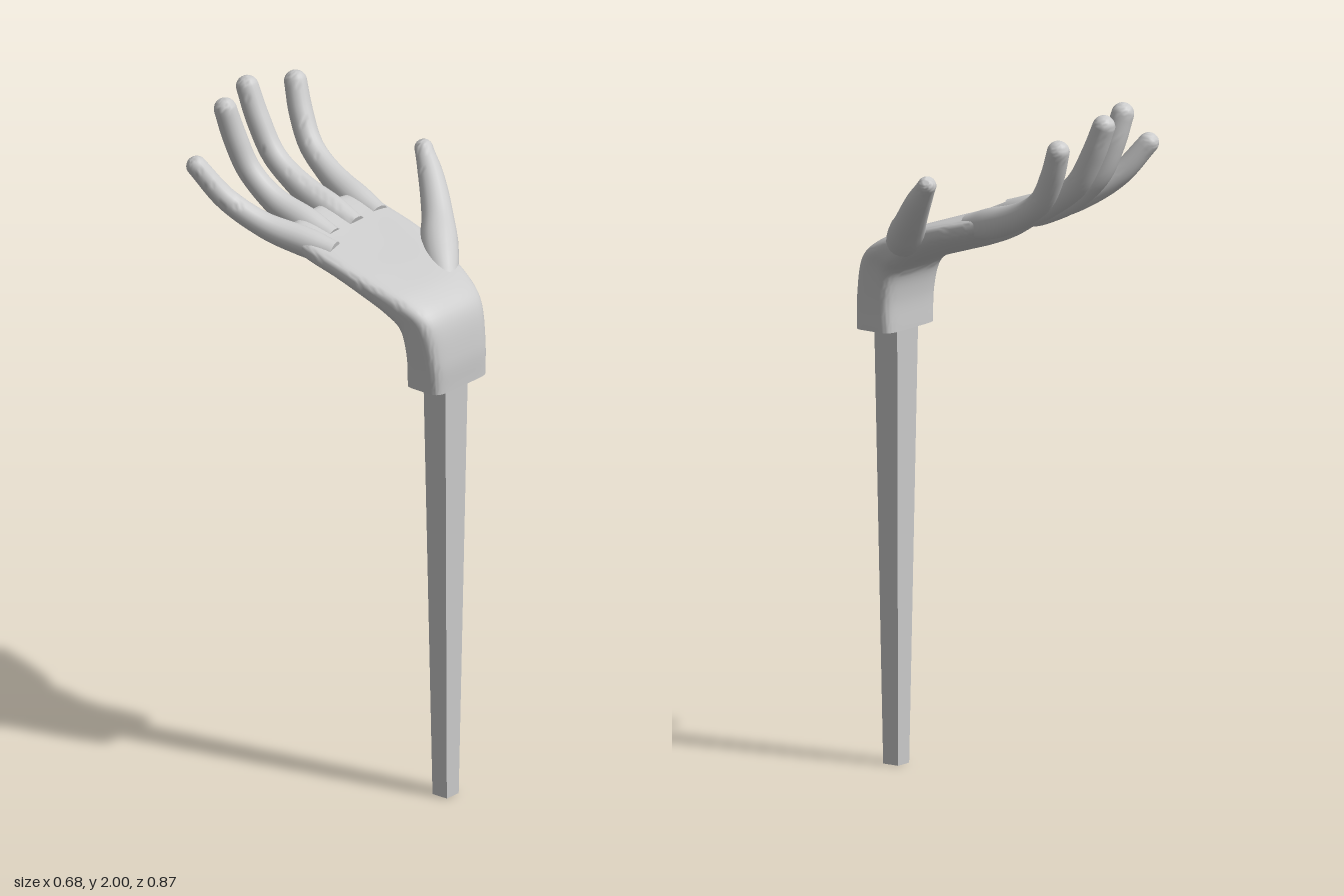
import * as THREE from 'three';
import { toCreasedNormals } from 'three/addons/utils/BufferGeometryUtils.js';

const V = (x, y, z) => new THREE.Vector3(x, y, z);
const material = new THREE.MeshStandardMaterial({ color: 0xcccccc });

// Skin a list of closed rings (counter-clockwise about the advance) and cap both ends
function loft(rings) {
  const n = rings[0].length;
  const last = (rings.length - 1) * n;
  const points = rings.flat();
  const index = [];
  const start = points.length;
  const end = start + 1;
  for (const ring of [rings[0], rings[rings.length - 1]]) {
    points.push(ring.reduce((sum, p) => sum.add(p), V(0, 0, 0)).divideScalar(n));
  }
  for (let j = 0; j < n; j++) {
    const k = (j + 1) % n;
    for (let a = 0; a < last; a += n) {
      index.push(a + j, a + k, a + n + k, a + j, a + n + k, a + n + j);
    }
    index.push(start, k, j, end, last + j, last + k);
  }
  const geometry = new THREE.BufferGeometry().setFromPoints(points);
  geometry.setIndex(index);
  return toCreasedNormals(geometry, 1.0);
}

function addMesh(group, name, geometry, mat = material) {
  const mesh = new THREE.Mesh(geometry, mat);
  mesh.name = name;
  group.add(mesh);
  return mesh;
}

// Tapered finger with a rounded tip; radii run evenly along the path
function finger(path, radii) {
  const curve = new THREE.CatmullRomCurve3(path.map((p) => V(...p)));
  const steps = 36, sides = 20, capSteps = 7;
  const frames = curve.computeFrenetFrames(steps);
  const radiusCurve = new THREE.SplineCurve(radii.map((r, i) => new THREE.Vector2(i, r)));
  const ring = (center, i, r) => Array.from({ length: sides }, (_, j) => {
    const a = (j / sides) * Math.PI * 2;
    return center.clone()
      .addScaledVector(frames.normals[i], Math.cos(a) * r)
      .addScaledVector(frames.binormals[i], Math.sin(a) * r);
  });
  const rings = [];
  for (let i = 0; i <= steps; i++) {
    rings.push(ring(curve.getPointAt(i / steps), i, radiusCurve.getPoint(i / steps).y));
  }
  const tip = curve.getPointAt(1);
  const r = radii[radii.length - 1];
  for (let k = 1; k <= capSteps; k++) {
    const a = (k / (capSteps + 0.3)) * Math.PI / 2;
    const center = tip.clone().addScaledVector(frames.tangents[steps], Math.sin(a) * r);
    rings.push(ring(center, steps, Math.cos(a) * r));
  }
  return loft(rings);
}

// Wrist and palm: each section is [xMin, xMax, upper y, upper z, lower y, lower z, squareness, dish]
function palm() {
  const sections = [
    [-0.13, 0.10, 1.28, 0.435, 1.28, 0.305, 6, 0],
    [-0.14, 0.105, 1.38, 0.435, 1.375, 0.305, 5, 0],
    [-0.153, 0.12, 1.495, 0.412, 1.45, 0.287, 4, 0],
    [-0.17, 0.145, 1.555, 0.345, 1.488, 0.24, 3.2, 0],
    [-0.192, 0.165, 1.6, 0.24, 1.522, 0.17, 2.8, 0.008],
    [-0.205, 0.175, 1.637, 0.125, 1.552, 0.095, 2.7, 0.014],
    [-0.208, 0.175, 1.67, 0.01, 1.583, -0.005, 2.7, 0.012],
    [-0.188, 0.172, 1.69, -0.06, 1.605, -0.05, 2.7, 0.006],
    [-0.15, 0.155, 1.692, -0.098, 1.63, -0.088, 2.6, 0],
    [-0.12, 0.13, 1.675, -0.115, 1.65, -0.11, 2.5, 0],
  ];
  const spline = (pick) => new THREE.CatmullRomCurve3(sections.map(pick), false, 'catmullrom', 0.5);
  const upper = spline((s) => V(s[0], s[2], s[3]));
  const lower = spline((s) => V(s[1], s[4], s[5]));
  const shape = spline((s) => V(s[6], s[7], 0));
  const steps = 54, sides = 48;
  const rings = [];
  for (let i = 0; i <= steps; i++) {
    const t = i / steps;
    const u = upper.getPoint(t), l = lower.getPoint(t), s = shape.getPoint(t);
    const middle = u.clone().add(l).multiplyScalar(0.5);
    const half = u.clone().sub(l).multiplyScalar(0.5);
    const bulge = (v) => Math.sign(v) * Math.pow(Math.abs(v), 2 / s.x);
    rings.push(Array.from({ length: sides }, (_, j) => {
      const a = ((j + 0.5) / sides) * Math.PI * 2;
      const c = bulge(Math.cos(a)), d = bulge(Math.sin(a));
      const lift = s.y * (2 * c * c - 1);
      return V(middle.x + half.x * c, middle.y + half.y * d + lift, middle.z + half.z * d);
    }));
  }
  return loft(rings);
}

// Four-sided stake, narrowing towards the ground
function stake() {
  const height = 1.3;
  const geometry = new THREE.BoxGeometry(1, height, 1).translate(0, height / 2, 0);
  const p = geometry.attributes.position;
  for (let i = 0; i < p.count; i++) {
    const t = p.getY(i) / height;
    p.setX(i, -0.016 + p.getX(i) * THREE.MathUtils.lerp(0.053, 0.1, t));
    p.setZ(i, 0.367 + p.getZ(i) * THREE.MathUtils.lerp(0.053, 0.082, t));
  }
  geometry.computeVertexNormals();
  return geometry;
}

export function createModel() {
  const model = new THREE.Group();
  addMesh(model, 'stake', stake());

  const hand = new THREE.Group();
  hand.name = 'hand';
  model.add(hand);
  addMesh(hand, 'palm', palm());

  const taper = [0.036, 0.045, 0.041, 0.036, 0.035, 0.035, 0.033];
  addMesh(hand, 'littleFinger', finger([
    [-0.145, 1.628, 0.06], [-0.168, 1.648, -0.03], [-0.215, 1.685, -0.14],
    [-0.265, 1.755, -0.24], [-0.308, 1.85, -0.313],
  ], [0.036, 0.043, 0.041, 0.036, 0.034, 0.032, 0.03]));
  addMesh(hand, 'ringFinger', finger([
    [-0.08, 1.635, 0], [-0.088, 1.667, -0.1], [-0.1, 1.71, -0.2],
    [-0.114, 1.785, -0.28], [-0.13, 1.88, -0.32], [-0.146, 1.967, -0.342],
  ], taper));
  addMesh(hand, 'middleFinger', finger([
    [0.022, 1.64, 0], [0.022, 1.672, -0.1], [0.022, 1.712, -0.2],
    [0.022, 1.78, -0.3], [0.022, 1.88, -0.362], [0.022, 1.967, -0.4],
  ], taper));
  addMesh(hand, 'indexFinger', finger([
    [0.125, 1.64, 0], [0.137, 1.667, -0.1], [0.158, 1.703, -0.2],
    [0.18, 1.762, -0.295], [0.2, 1.845, -0.35], [0.217, 1.925, -0.384],
  ], taper));
  addMesh(hand, 'thumb', finger([
    [0.07, 1.535, 0.29], [0.14, 1.585, 0.215], [0.22, 1.65, 0.14],
    [0.278, 1.725, 0.07], [0.315, 1.792, 0.01],
  ], [0.04, 0.052, 0.055, 0.047, 0.042, 0.036, 0.027]));

  return model;
}
